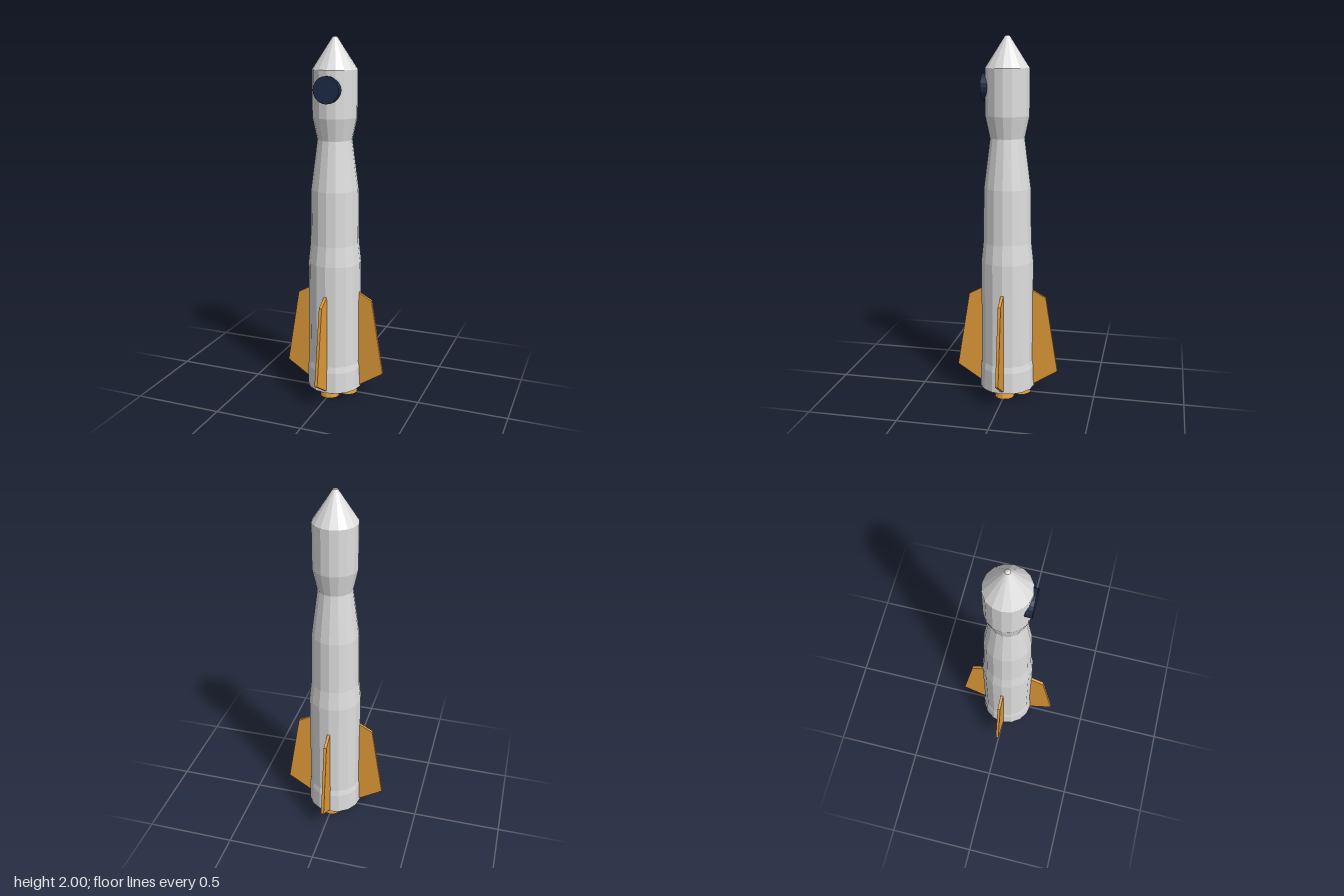
import * as THREE from 'three';

const flat = (name, color, side = THREE.FrontSide) =>
  new THREE.MeshStandardMaterial({ name, color, side, flatShading: true });

const points = (list) => list.map(([r, y]) => new THREE.Vector2(r, y));

export function createModel() {
  const rocket = new THREE.Group();
  rocket.name = 'rocket';

  const hullGrey = flat('hull grey', 0xdedede);
  const orange = flat('fin orange', 0xe29c3a, THREE.DoubleSide);
  const navy = flat('window navy', 0x1f2d48);

  const add = (name, geometry, material, parent = rocket) => {
    const mesh = new THREE.Mesh(geometry, material);
    mesh.name = name;
    parent.add(mesh);
    return mesh;
  };

  // Hull: skirt, stepped stages, narrow neck, capsule and nose cone
  const sides = 16;
  add('hull', new THREE.LatheGeometry(points([
    [0.155, 0.04], [0.153, 0.16], [0.147, 0.195], [0.147, 0.78],
    [0.135, 0.89], [0.13, 1.19], [0.095, 1.46], [0.121, 1.58],
    [0.121, 1.83], [0.013, 1.996], [0, 2],
  ]), sides), hullGrey);

  // Recessed engine bay under the skirt
  add('engineBay', new THREE.LatheGeometry(points([
    [0, 0.075], [0.146, 0.075], [0.155, 0.04],
  ]), sides), orange);

  // Round window, a short drum let into the capsule
  const porthole = add('porthole', new THREE.CylinderGeometry(0.072, 0.072, 0.053, 20), navy);
  porthole.rotation.x = Math.PI / 2;
  porthole.position.set(0, 1.73, 0.107);

  // Fin outline, reaching slightly into the hull
  const finShape = new THREE.Shape(points([
    [0.135, 0.044], [0.15, 0.05], [0.29, 0.14], [0.22, 0.57], [0.147, 0.61], [0.135, 0.61],
  ]));
  const finGeometry = new THREE.ExtrudeGeometry(finShape, { depth: 0.016, bevelEnabled: false });
  finGeometry.translate(0, 0, -0.008);

  // Open, flared engine bell
  const bellGeometry = new THREE.CylinderGeometry(0.04, 0.056, 0.08, 12, 1, true);

  // Four fins, each with an engine bell on the same axis
  for (let i = 0; i < 4; i++) {
    const quarter = new THREE.Group();
    quarter.name = `tailQuarter${i + 1}`;
    quarter.rotation.y = i * Math.PI / 2;
    add('fin', finGeometry, orange, quarter);
    add('engineBell', bellGeometry, orange, quarter).position.set(0.08, 0.04, 0);
    rocket.add(quarter);
  }

  return rocket;
}
